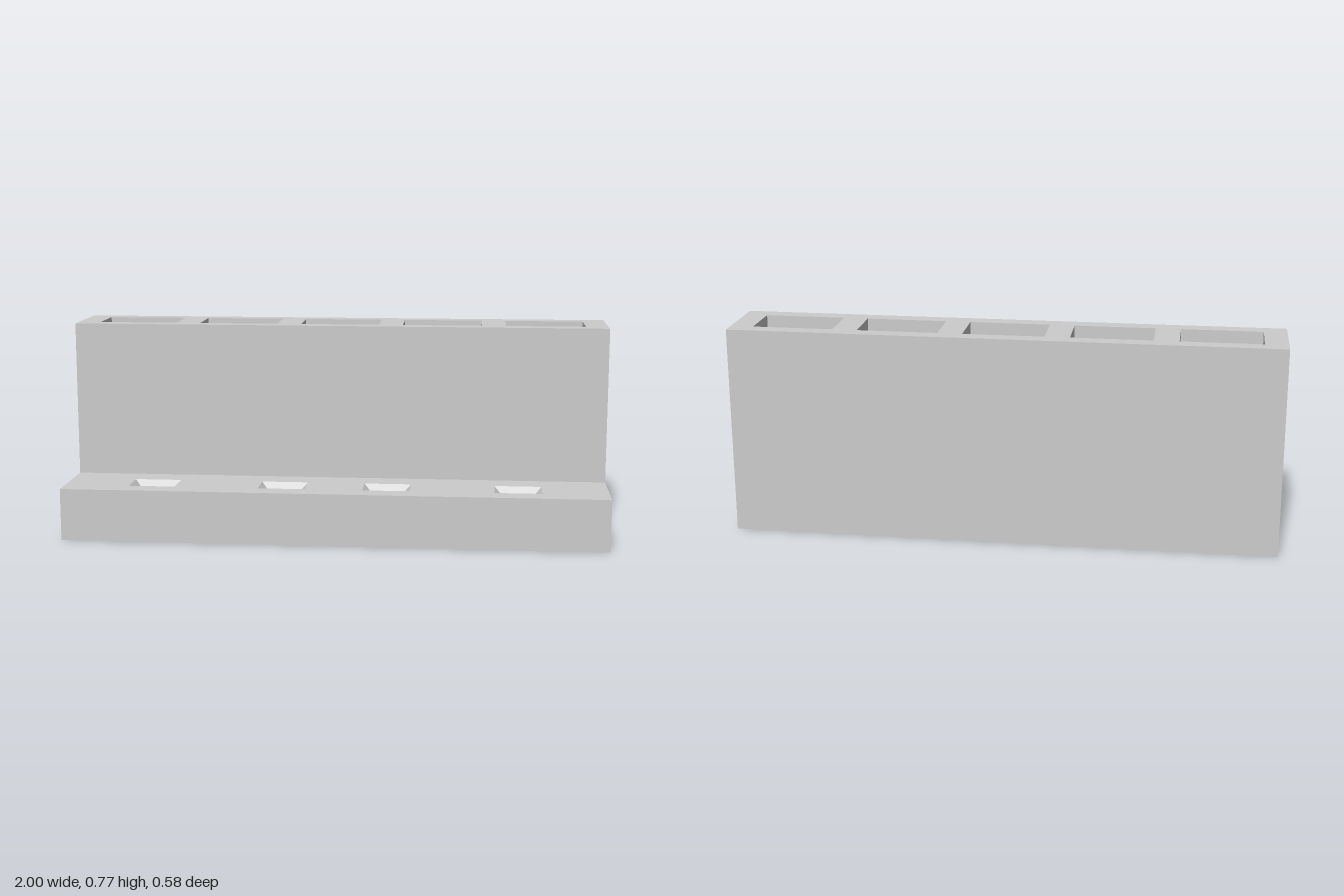
import * as THREE from 'three';

const U = 2 / 10.4; // base thickness, used as the module of the design
const W = 2, BASE = U, TOP = 4 * U, HALF = 1.5 * U;
const ROW_BACK = { z: -0.75 * U, xs: [-4, -2, 0, 2, 4].map(n => n * U) };
const ROW_FRONT = { z: 0.8 * U, xs: [-3.5, -1, 1, 3.5].map(n => n * U) };
const POCKET = [1.53 * U, 0.9 * U], MOUTH = [0.9 * U, 0.6 * U], SLOT = [0.5 * U, 0.21 * U];

const material = new THREE.MeshStandardMaterial({ color: 0xcccccc, flatShading: true });

function rectPoints(cx, cy, [w, h]) {
  return [[-1, -1], [1, -1], [1, 1], [-1, 1]].map(([i, j]) => new THREE.Vector2(cx + i * w / 2, cy + j * h / 2));
}

function add(group, name, geometry) {
  const mesh = new THREE.Mesh(geometry, material);
  mesh.name = name;
  group.add(mesh);
  return mesh;
}

// Horizontal plate in x/z with rectangular openings, facing up or down
function plate(group, name, y, center, size, openings, up = true) {
  const s = up ? -1 : 1;
  const shape = new THREE.Shape(rectPoints(center[0], s * center[1], size));
  for (const [x, z, hole] of openings) shape.holes.push(new THREE.Path(rectPoints(x, s * z, hole)));
  const mesh = add(group, name, new THREE.ShapeGeometry(shape).rotateX(s * Math.PI / 2));
  mesh.position.y = y;
}

// Inward-facing walls joining rectangles listed from low to high as [y, size]
function cavity(group, name, x, z, levels) {
  const pos = [];
  for (let l = 0; l < levels.length - 1; l++) {
    const [lo, hi] = [levels[l], levels[l + 1]].map(([y, size]) => rectPoints(x, z, size).map(p => [p.x, y, p.y]));
    for (let i = 0; i < 4; i++) {
      const j = (i + 1) % 4;
      pos.push(...lo[i], ...lo[j], ...hi[j], ...lo[i], ...hi[j], ...hi[i]);
    }
  }
  const geometry = new THREE.BufferGeometry();
  geometry.setAttribute('position', new THREE.Float32BufferAttribute(pos, 3));
  geometry.computeVertexNormals();
  add(group, name, geometry);
}

export function createModel() {
  const model = new THREE.Group();
  model.name = 'steppedHolder';

  // Upright outer walls
  add(model, 'baseFront', new THREE.PlaneGeometry(W, BASE)).position.set(0, BASE / 2, HALF);
  add(model, 'towerFront', new THREE.PlaneGeometry(W, TOP - BASE)).position.set(0, (TOP + BASE) / 2, 0);
  const back = add(model, 'backWall', new THREE.PlaneGeometry(W, TOP));
  back.position.set(0, TOP / 2, -HALF);
  back.rotation.y = Math.PI;

  // L-shaped ends
  for (const side of [1, -1]) {
    const profile = [[HALF, 0], [HALF, BASE], [0, BASE], [0, TOP], [-HALF, TOP], [-HALF, 0]];
    const shape = new THREE.Shape(profile.map(([z, y]) => new THREE.Vector2(-side * z, y)));
    const end = add(model, side > 0 ? 'leftEnd' : 'rightEnd', new THREE.ShapeGeometry(shape));
    end.rotation.y = side * Math.PI / 2;
    end.position.x = side * W / 2;
  }

  // Horizontal faces with their openings
  const openings = (row, size) => row.xs.map(x => [x, row.z, size]);
  plate(model, 'underside', 0, [0, 0], [W, 2 * HALF], [...openings(ROW_BACK, SLOT), ...openings(ROW_FRONT, SLOT)], false);
  plate(model, 'frontLedge', BASE, [0, HALF / 2], [W, HALF], openings(ROW_FRONT, MOUTH));
  plate(model, 'towerTop', TOP, [0, -HALF / 2], [W, HALF], openings(ROW_BACK, POCKET));

  // Slots that flare into funnel mouths, under deep pockets in the tower
  const funnel = [[0, SLOT], [0.8 * U, SLOT], [BASE, MOUTH]];
  for (const x of ROW_FRONT.xs) cavity(model, 'ledgeFunnel', x, ROW_FRONT.z, funnel);
  for (const x of ROW_BACK.xs) {
    cavity(model, 'pocketFunnel', x, ROW_BACK.z, funnel);
    plate(model, 'pocketFloor', BASE, [x, ROW_BACK.z], POCKET, [[x, ROW_BACK.z, MOUTH]]);
    cavity(model, 'pocketWalls', x, ROW_BACK.z, [[BASE, POCKET], [TOP, POCKET]]);
  }
  return model;
}
